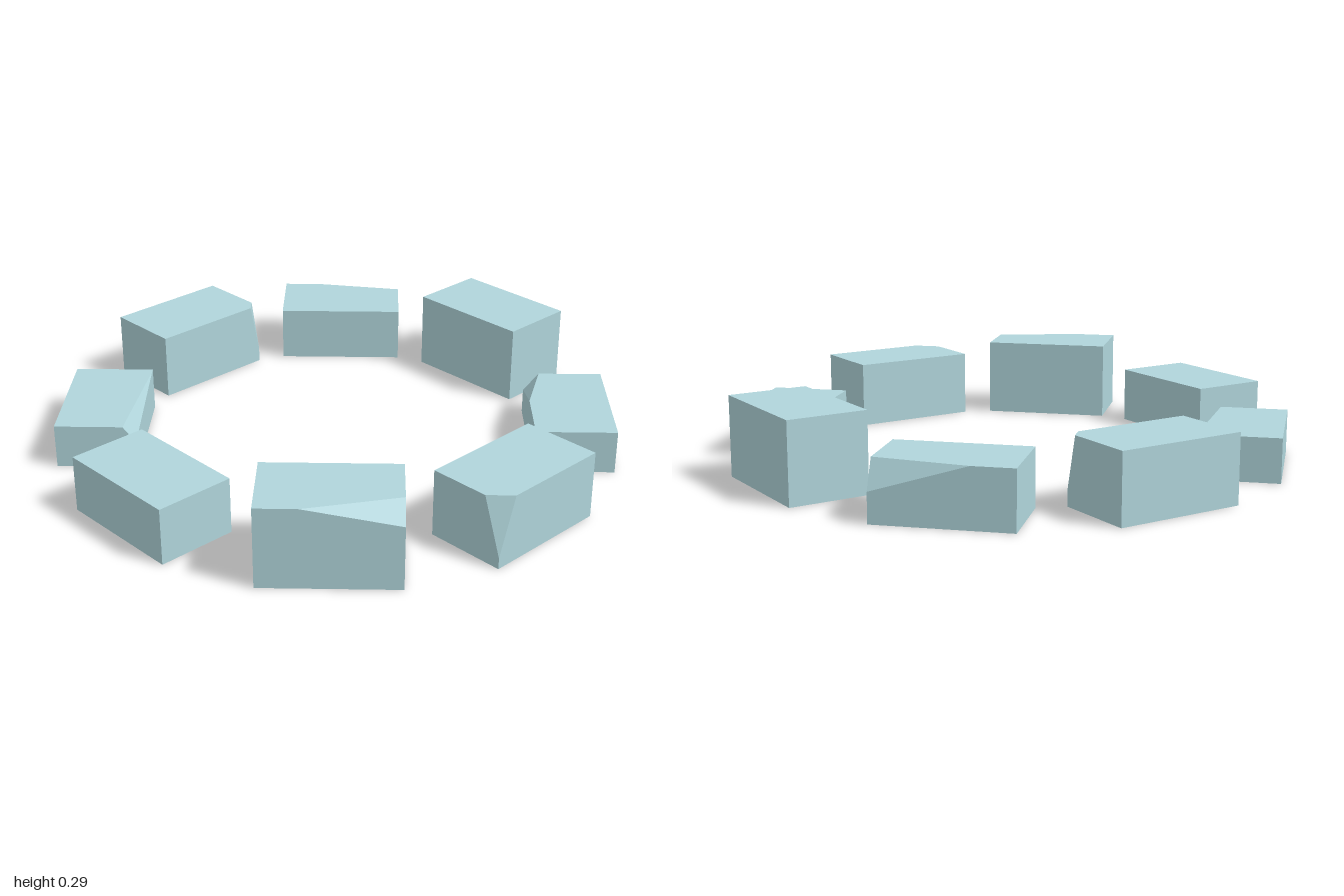
import * as THREE from 'three';
import { ConvexGeometry } from 'three/addons/geometries/ConvexGeometry.js';

const HALF = 0.237, INNER = 0.71, OUTER = 1;

// Stone block with one optional chipped top corner; local z points outward.
// chip: end (+1/-1), outer (bool), and chip lengths along the block, radially and down
function stoneGeometry(height, chip) {
  const points = [];
  for (const end of [-1, 1]) {
    for (const outer of [false, true]) {
      const x = end * HALF, z = outer ? OUTER : INNER;
      points.push(new THREE.Vector3(x, 0, z));
      if (chip && chip.end === end && chip.outer === outer) {
        points.push(
          new THREE.Vector3(x - end * chip.along, height, z),
          new THREE.Vector3(x, height, z + (outer ? -chip.radial : chip.radial)),
          new THREE.Vector3(x, height - chip.down, z)
        );
      } else {
        points.push(new THREE.Vector3(x, height, z));
      }
    }
  }
  return new ConvexGeometry(points);
}

export function createModel() {
  const group = new THREE.Group();
  group.name = 'stoneRing';
  const material = new THREE.MeshStandardMaterial({ color: 0xb0d5db, flatShading: true });

  // Stones in order around the ring, starting at the front and turning to +x
  const stones = [
    { height: 0.29, chip: { end: 1, outer: true, along: 0.33, radial: 0.08, down: 0.06 } },
    { height: 0.245, chip: { end: -1, outer: true, along: 0.07, radial: 0.07, down: 0.205 } },
    { height: 0.16, chip: { end: 1, outer: false, along: 0.23, radial: 0.055, down: 0.07 } },
    { height: 0.29 },
    { height: 0.205, chip: { end: -1, outer: true, along: 0.33, radial: 0.05, down: 0.1 } },
    { height: 0.245, chip: { end: -1, outer: false, along: 0.04, radial: 0.04, down: 0.19 } },
    { height: 0.16, chip: { end: 1, outer: false, along: 0.455, radial: 0.045, down: 0.06 } },
    { height: 0.205 },
  ];
  stones.forEach(({ height, chip }, i) => {
    const stone = new THREE.Mesh(stoneGeometry(height, chip), material);
    stone.name = `stone${i + 1}`;
    stone.rotation.y = (i * Math.PI) / 4;
    group.add(stone);
  });
  return group;
}
